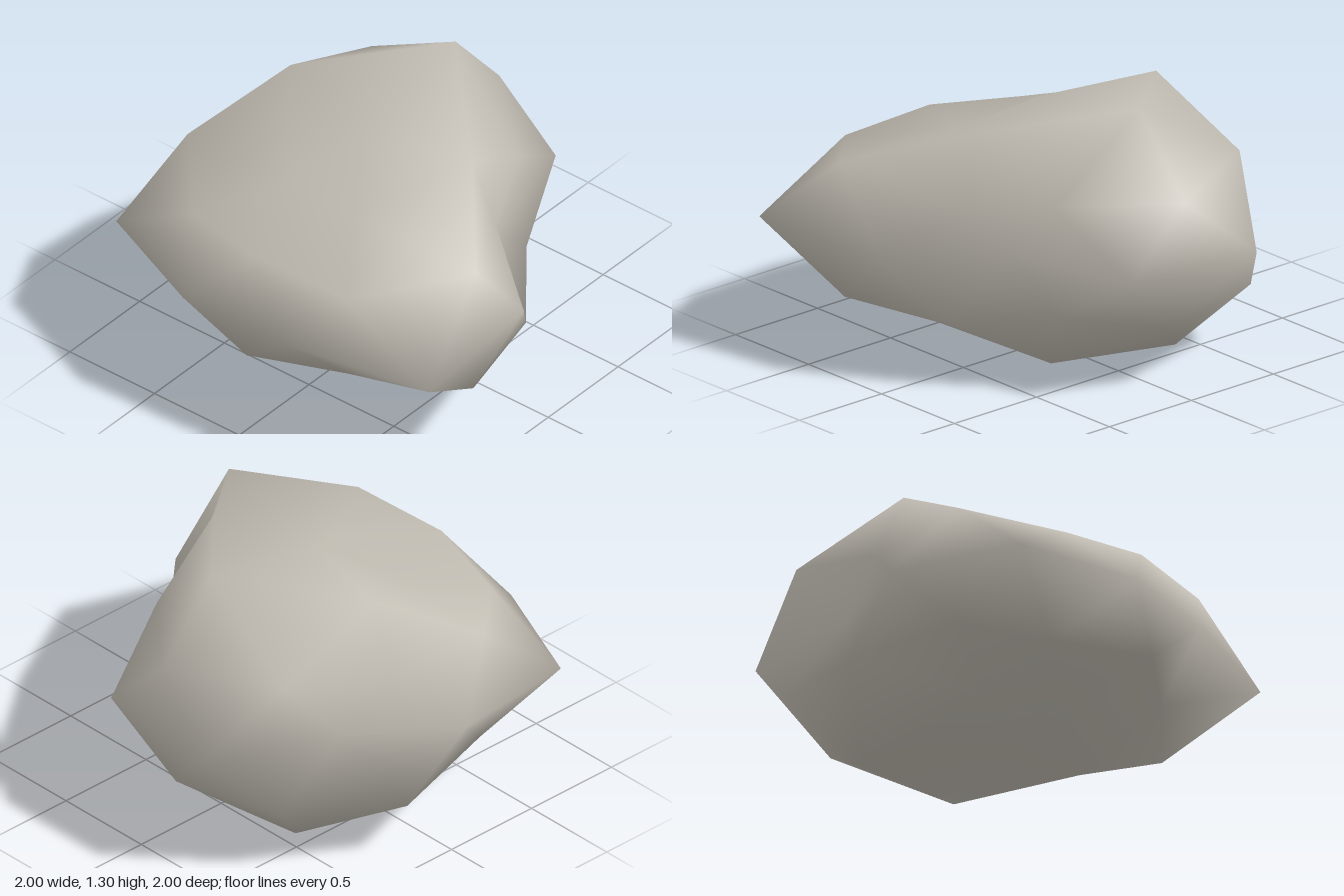
import * as THREE from 'three';

// Rings of the boulder from top to bottom:
// height and width on a unit sphere, first angle in degrees, and each corner's distance from the core.
const RINGS = [
  { y: 1, r: 0, start: 0, reach: [0.89] },
  { y: 0.851, r: 0.526, start: 0, reach: [1.31, 1.05, 0.69, 0.66, 1.11] },
  { y: 0.447, r: 0.894, start: 0, reach: [1.12, 0.75, 1.01, 0.875, 0.85] },
  { y: 0.526, r: 0.851, start: 36, reach: [0.89, 1.16, 0.88, 0.99, 1.1] },
  { y: 0, r: 1, start: 18, reach: [1.06, 0.625, 0.97, 1.28, 0.935, 0.955, 1.11, 0.96, 0.76, 1.15] },
  { y: -0.526, r: 0.851, start: 0, reach: [1.07, 0.957, 0.86, 0.69, 1.075] },
  { y: -0.447, r: 0.894, start: 36, reach: [0.88, 1.08, 0.906, 0.92, 1.105] },
  { y: -0.851, r: 0.526, start: 36, reach: [1.07, 0.95, 0.62, 0.8, 1.21] },
  { y: -1, r: 0, start: 0, reach: [0.85] },
];
const CORE = new THREE.Vector3(-0.09, 0.625, -0.04);
const FLATTEN = 0.605;

function boulderGeometry() {
  const positions = [];
  const first = [];
  for (const { y, r, start, reach } of RINGS) {
    first.push(positions.length / 3);
    reach.forEach((k, i) => {
      const a = THREE.MathUtils.degToRad(start + (i * 360) / reach.length);
      positions.push(
        CORE.x + k * r * Math.cos(a),
        CORE.y + k * y * FLATTEN,
        CORE.z + k * r * Math.sin(a),
      );
    });
  }
  const at = (ring, i) => first[ring] + (i % RINGS[ring].reach.length);

  // Each large triangle is cut into four through its edge midpoints
  const index = [];
  const split = (a, b, c, ab, bc, ca) =>
    index.push(a, ca, ab, ab, bc, b, ca, c, bc, ab, ca, bc);

  for (let j = 0; j < 5; j++) {
    const n = j + 1;
    // crown
    split(at(0, 0), at(2, j), at(2, n), at(1, j), at(3, j), at(1, n));
    // flanks pointing down, then up
    split(at(2, j), at(6, j), at(2, n), at(4, 2 * j), at(4, 2 * j + 1), at(3, j));
    split(at(2, n), at(6, j), at(6, n), at(4, 2 * j + 1), at(5, n), at(4, 2 * j + 2));
    // underside
    split(at(6, j), at(8, 0), at(6, n), at(7, j), at(7, n), at(5, n));
  }

  const geometry = new THREE.BufferGeometry();
  geometry.setAttribute('position', new THREE.Float32BufferAttribute(positions, 3));
  geometry.setIndex(index);
  geometry.computeVertexNormals();
  return geometry;
}

export function createModel() {
  const stone = new THREE.MeshStandardMaterial({ color: 0xc0bbb1 });
  stone.name = 'stone';

  const boulder = new THREE.Mesh(boulderGeometry(), stone);
  boulder.name = 'boulder';

  const model = new THREE.Group();
  model.name = 'rock';
  model.add(boulder);
  return model;
}
